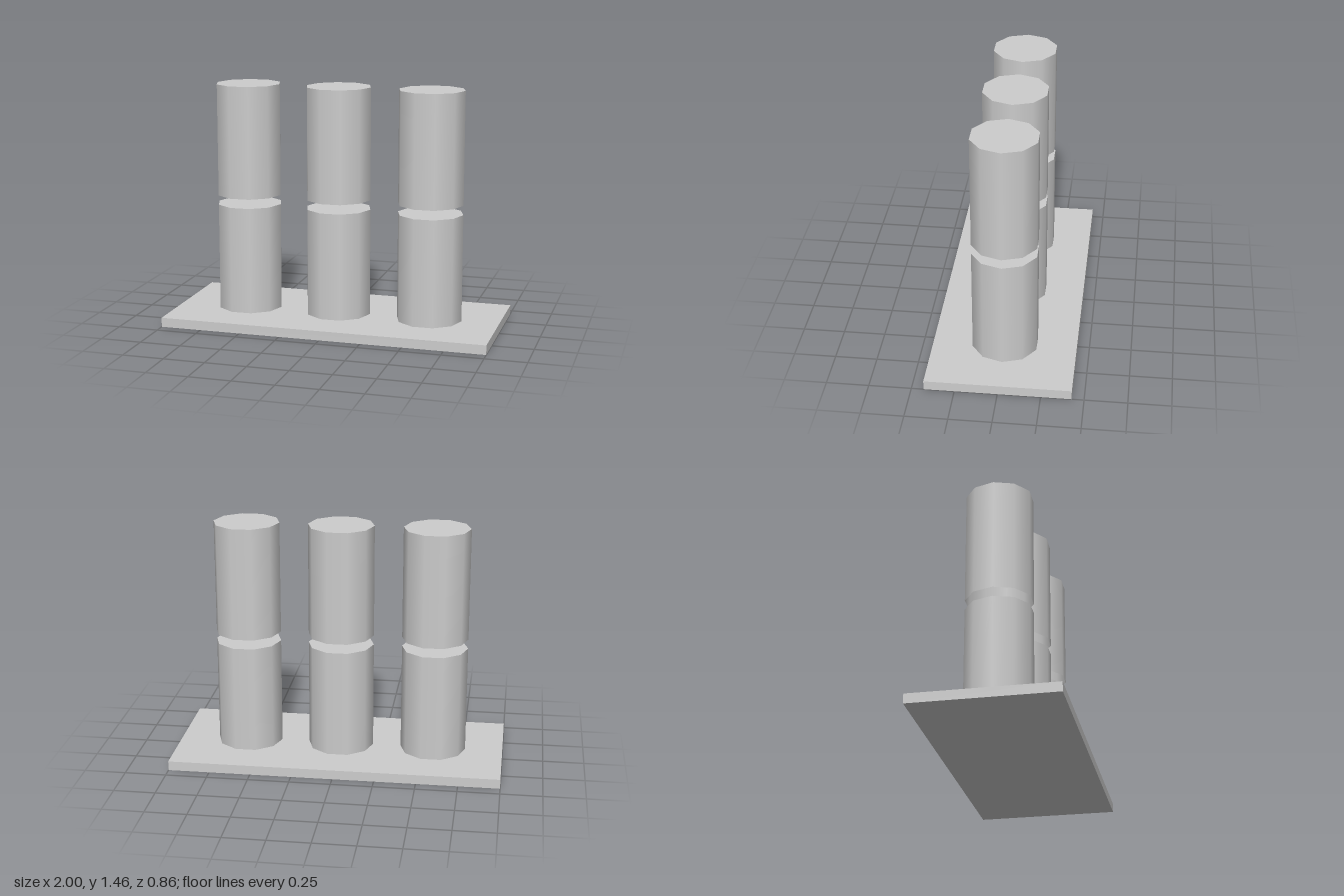
import * as THREE from 'three';

export function createModel() {
  const model = new THREE.Group();
  const grey = new THREE.MeshStandardMaterial({ color: 0xcccccc, side: THREE.DoubleSide });
  grey.name = 'light grey';

  const u = 2 / 7; // base is 7 units wide
  const radius = 0.7 * u, height = 2.4 * u, sides = 10;

  // Flat rectangular base
  const base = new THREE.Mesh(new THREE.BoxGeometry(7 * u, 0.2 * u, 3 * u), grey);
  base.name = 'base';
  base.position.y = 0.1 * u;
  model.add(base);

  // Ten-sided smooth wall, open underneath, with a flat top; corners lie on the x axis
  const wallGeometry = new THREE.CylinderGeometry(radius, radius, height, sides, 1, true)
    .rotateY(Math.PI / 2);
  const topGeometry = new THREE.CircleGeometry(radius, sides)
    .rotateX(-Math.PI / 2).translate(0, height / 2, 0);

  function addCylinder(name, x, bottom) {
    const cylinder = new THREE.Group();
    cylinder.name = name;
    const wall = new THREE.Mesh(wallGeometry, grey);
    wall.name = 'wall';
    const top = new THREE.Mesh(topGeometry, grey);
    top.name = 'top';
    cylinder.add(wall, top);
    cylinder.position.set(x, bottom + height / 2, 0);
    model.add(cylinder);
  }

  // Three columns, each a lower cylinder sunk into the base and an upper one above a gap
  ['right', 'middle', 'left'].forEach((place, i) => {
    const x = (i - 1) * 2 * u;
    addCylinder(place + 'LowerCylinder', x, 0.1 * u);
    addCylinder(place + 'UpperCylinder', x, 2.7 * u);
  });

  return model;
}
